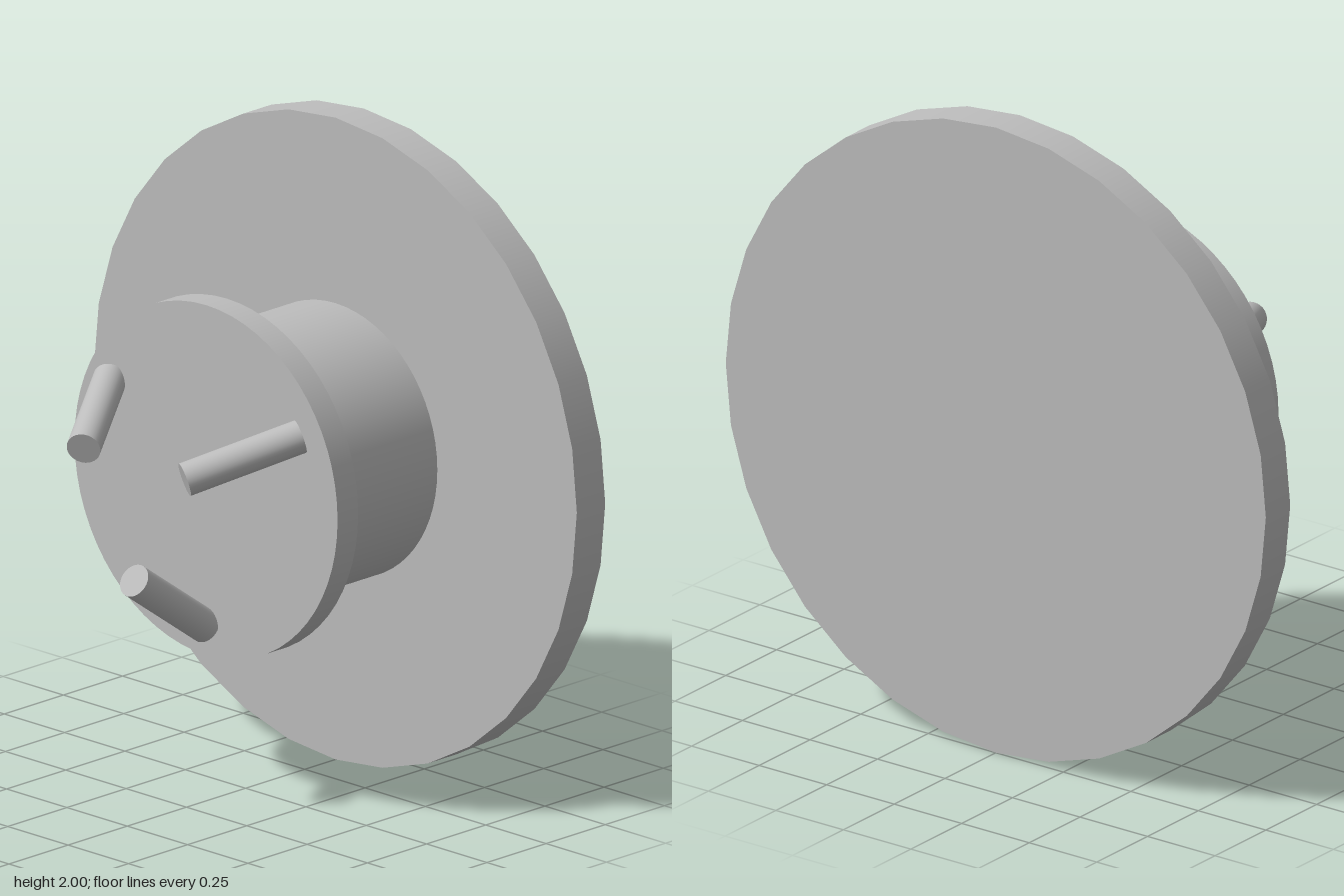
import * as THREE from 'three';

export function createModel() {
  const model = new THREE.Group();
  const grey = new THREE.MeshStandardMaterial({ color: 0xbcbcbc });
  grey.name = 'plain grey';

  // Cylinder running between two points
  function rod(name, from, to, radius, sides) {
    const axis = to.clone().sub(from);
    const mesh = new THREE.Mesh(new THREE.CylinderGeometry(radius, radius, axis.length(), sides), grey);
    mesh.name = name;
    mesh.position.copy(from).add(to).multiplyScalar(0.5);
    mesh.quaternion.setFromUnitVectors(new THREE.Vector3(0, 1, 0), axis.normalize());
    model.add(mesh);
  }

  // Coaxial discs from back to front: name, back z, front z, radius, sides
  const discs = [
    ['backPlate', -0.5, -0.38, 1, 32],
    ['hub', -0.38, 0.08, 0.422, 64],
    ['frontFlange', 0.08, 0.167, 0.545, 64],
  ];
  for (const [name, back, front, radius, sides] of discs) {
    rod(name, new THREE.Vector3(0, 1, back), new THREE.Vector3(0, 1, front), radius, sides);
  }

  // Three pins leaning in towards the axis
  const names = ['bottomPin', 'upperLeftPin', 'upperRightPin'];
  names.forEach((name, i) => {
    const angle = -Math.PI / 2 + (i * Math.PI * 2) / 3;
    const at = (r, z) => new THREE.Vector3(Math.cos(angle) * r, 1 + Math.sin(angle) * r, z);
    rod(name, at(0.455, 0.17), at(0.242, 0.471), 0.051, 32);
  });

  return model;
}
